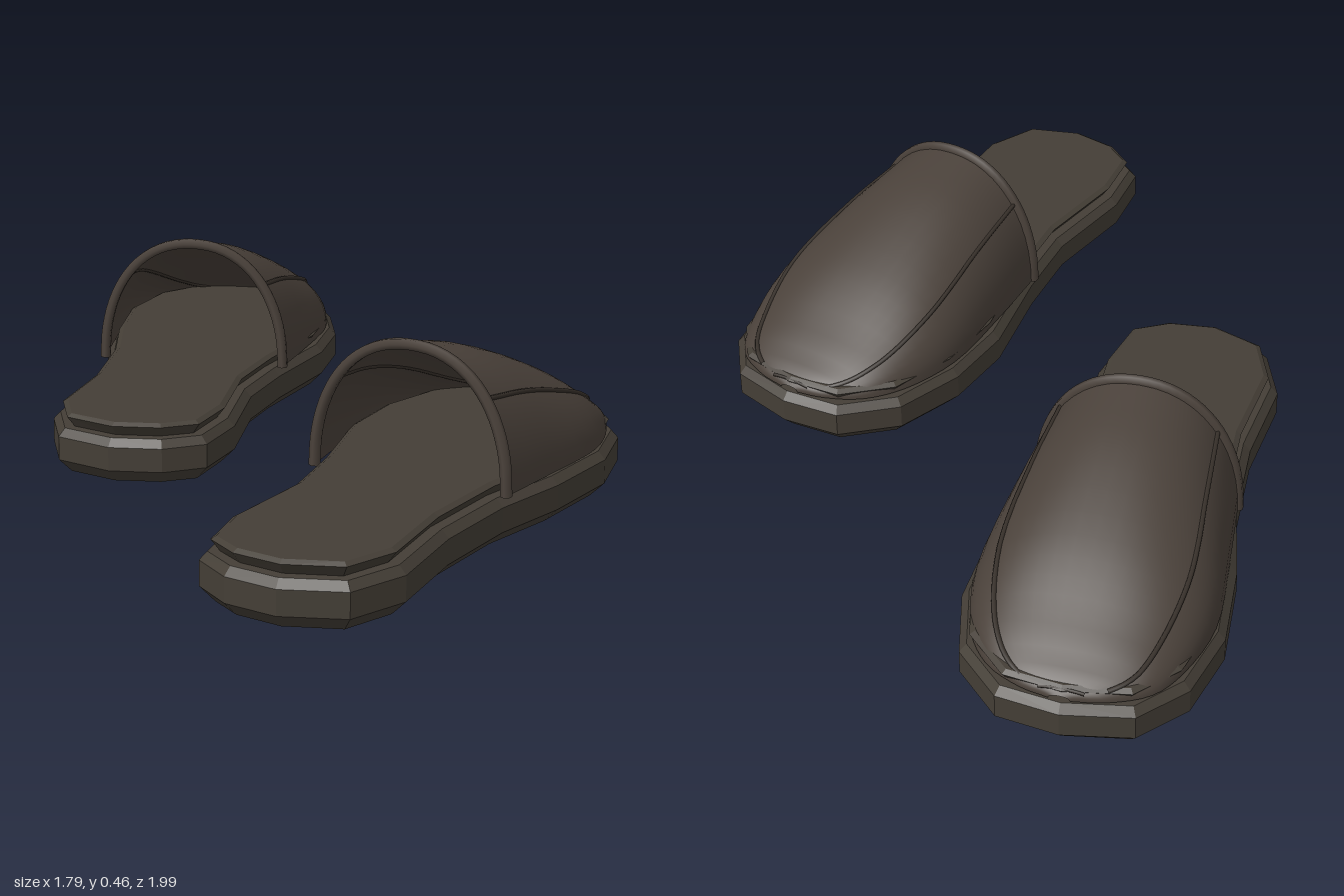
import * as THREE from 'three';

const upperMat = new THREE.MeshStandardMaterial({ color: 0x4a413a, side: THREE.DoubleSide });
upperMat.name = 'brown leather';
const soleMat = new THREE.MeshStandardMaterial({ color: 0x443e36, flatShading: true });
soleMat.name = 'dark sole';
const seamMat = new THREE.MeshStandardMaterial({ color: 0x37302a });
seamMat.name = 'seam piping';

// Sole outline [x, z], clockwise from the toe, origin at the heel centre
const OUTLINE = [
  [0.01, -1.26], [0.175, -1.225], [0.27, -1.11], [0.308, -0.925], [0.283, -0.69],
  [0.235, -0.48], [0.215, -0.23], [0.232, 0.02], [0.174, 0.167], [0.03, 0.226],
  [-0.102, 0.212], [-0.2, 0.149], [-0.232, -0.013], [-0.215, -0.277], [-0.247, -0.485],
  [-0.31, -0.744], [-0.311, -0.94], [-0.26, -1.124], [-0.142, -1.24],
];

// Upper stations: z, left edge, right edge, crown height
const STATIONS = [
  [-0.487, -0.254, 0.239, 0.447], [-0.686, -0.275, 0.264, 0.407], [-0.92, -0.287, 0.285, 0.318],
  [-1.08, -0.245, 0.25, 0.23], [-1.17, -0.182, 0.2, 0.178], [-1.222, -0.09, 0.105, 0.145],
  [-1.238, -0.02, 0.03, 0.13],
];
const BASE_Y = 0.12;
const edgeCurve = new THREE.CatmullRomCurve3(STATIONS.map(([z, l, r]) => new THREE.Vector3(l, r, z)));
const crownCurve = new THREE.CatmullRomCurve3(STATIONS.map(([z, , , h]) => new THREE.Vector3(0, h, z)));

// Point on the upper: s runs rim to toe, a runs right edge over the crown to left edge
function upperPoint(s, a, lift = 0) {
  const e = edgeCurve.getPoint(s), h = crownCurve.getPoint(s).y;
  const c = Math.cos(a), k = Math.max(Math.sin(a), 0);
  const half = (e.y - e.x) / 2 + lift;
  return [
    (e.x + e.y) / 2 + half * Math.sign(c) * Math.abs(c) ** 0.92,
    BASE_Y + (h - BASE_Y + lift) * k ** 0.92,
    e.z,
  ];
}

// Outline ring at height y, moved inwards
function ring(y, inset) {
  const n = OUTLINE.length;
  return OUTLINE.map(([x, z], i) => {
    const p = OUTLINE[(i + n - 1) % n], q = OUTLINE[(i + 1) % n];
    const tx = q[0] - p[0], tz = q[1] - p[1], len = Math.hypot(tx, tz);
    return [x - (tz / len) * inset, y, z + (tx / len) * inset];
  });
}
const centre = (y) => OUTLINE.map(() => [0, y, -0.5]);

// Skin rows of points; side = -1 mirrors in x
function loft(rows, closed, side) {
  const n = rows[0].length, index = [];
  for (let j = 0; j < rows.length - 1; j++) {
    for (let i = 0; i < (closed ? n : n - 1); i++) {
      const a = j * n + i, b = j * n + (i + 1) % n, c = b + n, d = a + n;
      if (side > 0) index.push(a, d, b, b, d, c);
      else index.push(a, b, d, b, c, d);
    }
  }
  const geo = new THREE.BufferGeometry();
  geo.setAttribute('position', new THREE.Float32BufferAttribute(
    rows.flat().flatMap(([x, y, z]) => [x * side, y, z]), 3));
  geo.setIndex(index);
  geo.computeVertexNormals();
  return geo;
}

function tube(points, radius, side) {
  const curve = new THREE.CatmullRomCurve3(points.map(([x, y, z]) => new THREE.Vector3(x * side, y, z)));
  return new THREE.TubeGeometry(curve, 40, radius, 6);
}

const steps = (n, f) => Array.from({ length: n + 1 }, (_, i) => f(i / n));

function makeSlipper(name, side) {
  const slipper = new THREE.Group();
  slipper.name = name;
  const add = (part, geo, mat) => {
    const mesh = new THREE.Mesh(geo, mat);
    mesh.name = part;
    slipper.add(mesh);
  };

  // Bevelled outsole
  add('outsole', loft([centre(0), ring(0, 0.035), ring(0.035, 0), ring(0.095, 0),
    ring(0.115, 0.018), centre(0.115)], true, side), soleMat);
  // Footbed flaring out to its top edge
  add('footbed', loft([ring(0.112, 0.048), ring(0.142, 0.025), ring(0.15, 0.038),
    centre(0.15)], true, side), soleMat);
  // Domed upper, open at the back
  add('upper', loft(steps(24, (s) => steps(24, (t) => upperPoint(s, t * Math.PI))), false, side), upperMat);
  // Rolled rim around the opening
  add('openingRim', tube(steps(16, (t) => upperPoint(0, t * Math.PI)), 0.014, side), upperMat);
  // Two long seams over the toe
  for (const [part, a] of [['outerSeam', 0.72], ['innerSeam', Math.PI - 0.72]]) {
    add(part, tube(steps(12, (t) => upperPoint(t * 0.78, a, 0.001)), 0.006, side), seamMat);
  }
  // Short seam across the toe tip
  add('toeSeam', tube(steps(8, (t) => upperPoint(0.87, 0.9 + t * 1.34, 0.001)), 0.004, side), seamMat);
  return slipper;
}

export function createModel() {
  const model = new THREE.Group();
  model.name = 'slippers';
  const left = makeSlipper('leftSlipper', 1);
  left.position.set(0.662, 0, 0.767);
  left.rotation.y = 0.103;
  const right = makeSlipper('rightSlipper', -1);
  right.position.set(-0.23, 0, 0.2);
  right.rotation.y = 0.387;
  model.add(left, right);
  return model;
}
